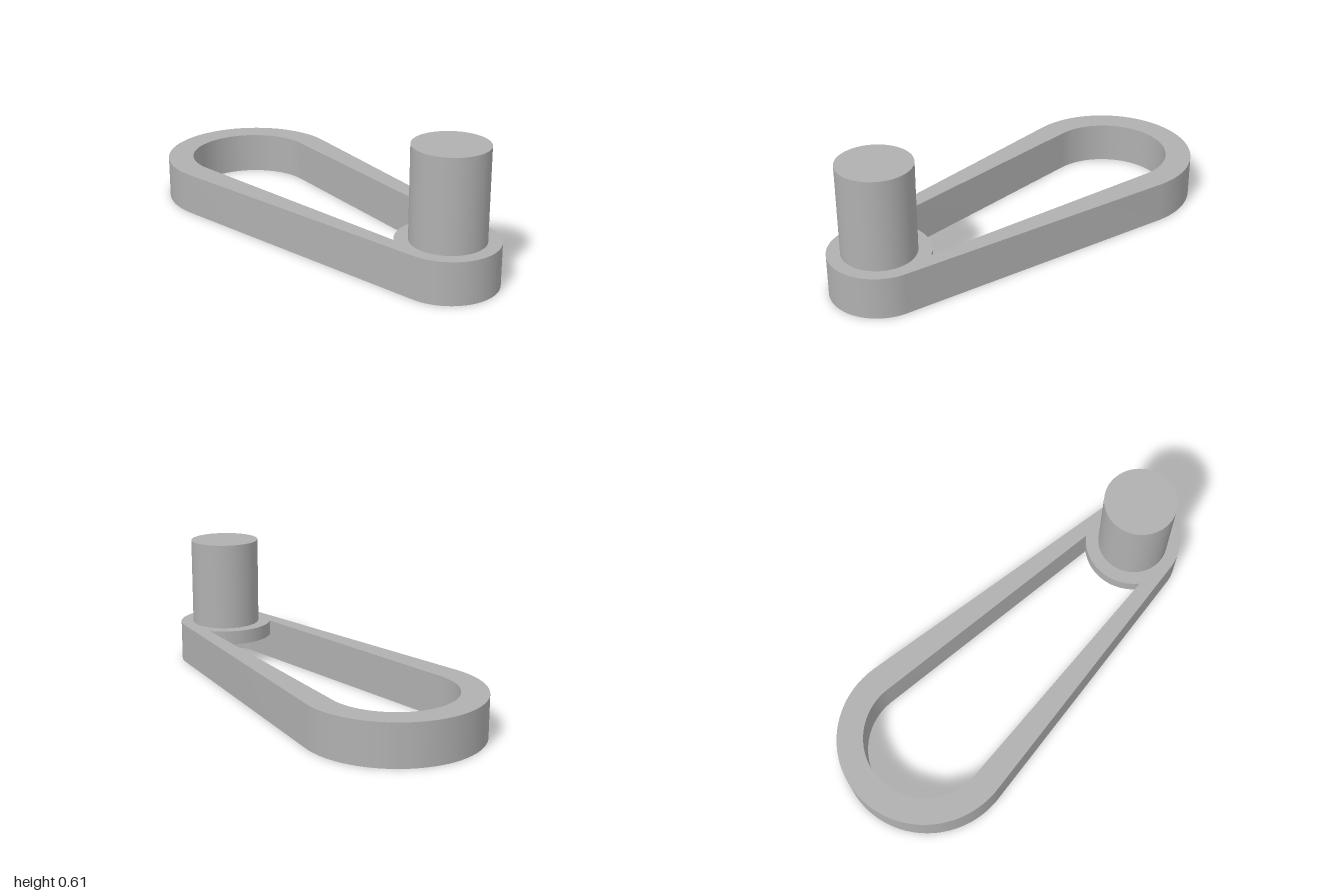
import * as THREE from 'three';
import { toCreasedNormals } from 'three/addons/utils/BufferGeometryUtils.js';

const BIG = { x: -0.593, outer: 0.407, inner: 0.287 };
const SMALL = { x: 0.775, outer: 0.225, inner: 0.163 };
const HEIGHT = 0.193, PLATE_BOTTOM = 0.125, PEG_TOP = 0.61, PEG_RADIUS = 0.165;

// Angle from +x of the normal to the line tangent to both end circles
const tangentAngle = (R, r) => Math.acos((R - r) / (SMALL.x - BIG.x));

// Two end arcs joined by tangent lines
function teardrop(target, R, r) {
  const a = tangentAngle(R, r);
  target.absarc(SMALL.x, 0, r, -a, a, false);
  target.absarc(BIG.x, 0, R, a, 2 * Math.PI - a, false);
  target.closePath();
  return target;
}

// Extrude a plan outline upward between two heights
function slab(shape, bottom, top) {
  const geo = new THREE.ExtrudeGeometry(shape, { depth: top - bottom, bevelEnabled: false, curveSegments: 64 });
  geo.rotateX(-Math.PI / 2);
  geo.translate(0, bottom, 0);
  return toCreasedNormals(geo, 0.5);
}

export function createModel() {
  const group = new THREE.Group();
  const gray = new THREE.MeshStandardMaterial({ color: 0xb0b0b0 });
  gray.name = 'plain gray';

  const add = (name, geometry) => {
    const mesh = new THREE.Mesh(geometry, gray);
    mesh.name = name;
    group.add(mesh);
    return mesh;
  };

  // Tapered loop with an open middle
  const frame = teardrop(new THREE.Shape(), BIG.outer, SMALL.outer);
  frame.holes.push(teardrop(new THREE.Path(), BIG.inner, SMALL.inner));
  add('loopFrame', slab(frame, 0, HEIGHT));

  // Round plate closing the top of the loop's narrow end
  const a = tangentAngle(BIG.inner, SMALL.inner);
  const corner = a + Math.acos(SMALL.inner / SMALL.outer);
  const plate = new THREE.Shape();
  plate.absarc(SMALL.x, 0, SMALL.inner, -a, a, false);
  plate.absarc(SMALL.x, 0, SMALL.outer, corner, 2 * Math.PI - corner, false);
  plate.closePath();
  add('pegPlate', slab(plate, PLATE_BOTTOM, HEIGHT));

  // Upright peg, rooted slightly inside the plate
  const root = HEIGHT - 0.03;
  const peg = add('peg', new THREE.CylinderGeometry(PEG_RADIUS, PEG_RADIUS, PEG_TOP - root, 64));
  peg.position.set(SMALL.x, (PEG_TOP + root) / 2, 0);

  return group;
}
